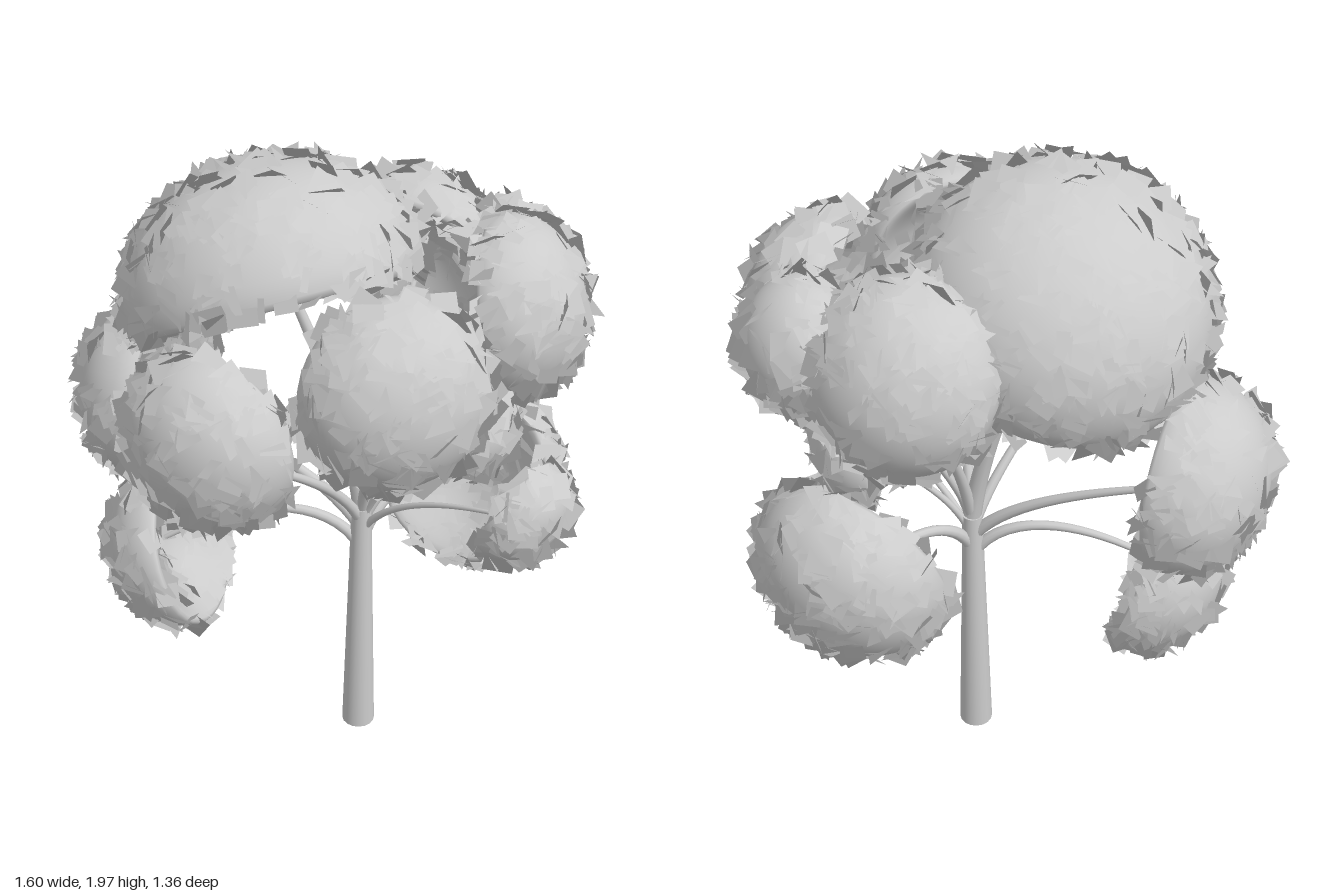
import * as THREE from 'three';
import { mergeGeometries } from 'three/addons/utils/BufferGeometryUtils.js';

const V = (x, y, z) => new THREE.Vector3(x, y, z);
const grey = new THREE.MeshStandardMaterial({ color: 0xcccccc });
const leafGrey = new THREE.MeshStandardMaterial({ color: 0xcccccc, side: THREE.DoubleSide });
const trunkX = 0.1, trunkZ = -0.07;

// small seeded random
let seed = 7;
const rnd = () => {
  seed = (seed * 16807) % 2147483647;
  return seed / 2147483647;
};
const spread = (a) => (rnd() * 2 - 1) * a;

// clump section: hollow underside with rounded rim, then the dome
const P = (x, y) => new THREE.Vector2(x, y);
const profile = new THREE.CurvePath();
profile.add(new THREE.CubicBezierCurve(P(0, 0.38), P(0.6, 0.38), P(1, -0.5), P(1, 0)));
profile.add(new THREE.EllipseCurve(0, 0, 1, 1, 0, Math.PI / 2));

// foliage clumps: name, radius, rim centre, outward axis
const clumps = [
  ['crown', 0.42, [-0.14, 1.57, 0.01], [-0.38, 0.87, -0.3]],
  ['front', 0.25, [-0.14, 1.32, 0.43], [-0.25, -0.08, 1]],
  ['frontLeft', 0.255, [0.32, 1.5, 0.32], [0.6, 0.15, 0.7]],
  ['right', 0.28, [-0.53, 1.14, -0.04], [-1, 0, -0.05]],
  ['lowRight', 0.26, [-0.42, 0.68, 0.09], [-0.95, -0.3, 0.1]],
  ['lowLeft', 0.155, [0.62, 1.08, 0.11], [0.85, -0.4, 0.25]],
  ['innerLeft', 0.14, [0.46, 1.29, 0.07], [1, 0, 0.1]],
  ['innerBack', 0.16, [0.37, 1.13, -0.23], [0.9, 0, -0.4]],
  ['left', 0.25, [0.49, 1.55, -0.16], [0.95, 0.2, -0.08]],
  ['back', 0.265, [0.14, 1.53, -0.4], [0.05, 0.42, -0.9]],
  ['backLeft', 0.185, [0.44, 1.56, -0.39], [0.6, 0.3, -0.75]],
  ['lowBack', 0.295, [0.33, 0.83, -0.39], [0.15, -0.3, -0.95]],
];

// square leaf cards scattered over a clump, shaded like the surface below
function leafCards(R, H) {
  const cards = [];
  const dummy = new THREE.Object3D();
  const count = Math.round(80 + 3000 * R * R);
  while (cards.length < count) {
    const t = 0.02 + rnd() * 0.96;
    const p = profile.getPoint(t);
    if (rnd() > p.x + 0.05) continue;
    const d = profile.getTangent(t);
    const a = rnd() * Math.PI * 2;
    const n = V(d.y * H * Math.sin(a), -d.x * R, d.y * H * Math.cos(a)).normalize();
    dummy.position.set(p.x * R * Math.sin(a), p.y * H, p.x * R * Math.cos(a));
    dummy.lookAt(dummy.position.clone().add(n));
    dummy.rotateZ(rnd() * Math.PI * 2);
    dummy.rotateX(spread(0.85));
    dummy.rotateY(spread(0.85));
    dummy.updateMatrix();
    const size = 0.06 + rnd() * 0.025;
    const card = new THREE.PlaneGeometry(size, size).applyMatrix4(dummy.matrix);
    for (let i = 0; i < 4; i++) card.attributes.normal.setXYZ(i, n.x, n.y, n.z);
    cards.push(card);
  }
  return mergeGeometries(cards);
}

// one clump: a smooth cushion covered in leaves
function makeFoliage(name, R, centre, axis) {
  const H = R * 0.83;
  const foliage = new THREE.Group();
  foliage.name = `${name}Foliage`;
  const pts = profile.getPoints(12).map((p) => P(Math.max(0, p.x) * R, p.y * H));
  const cushion = new THREE.Mesh(new THREE.LatheGeometry(pts, 36), grey);
  cushion.name = 'cushion';
  const leaves = new THREE.Mesh(leafCards(R, H), leafGrey);
  leaves.name = 'leaves';
  foliage.add(cushion, leaves);
  foliage.position.set(...centre);
  foliage.quaternion.setFromUnitVectors(V(0, 1, 0), V(...axis).normalize());
  return foliage;
}

// tapering branch from the trunk into its clump; low ones arch over
function makeBranch(name, R, centre, axis) {
  const end = V(...axis).normalize().multiplyScalar(R * 0.45).add(V(...centre));
  const start = V(trunkX, 0.6 + 0.14 * end.y, trunkZ);
  const lift = 0.02 + 0.32 * Math.max(0, 1.2 - end.y);
  const along = (side, up) => {
    const p = start.clone().lerp(end, side);
    return p.setY(THREE.MathUtils.lerp(start.y, end.y, up) + lift);
  };
  const curve = new THREE.CubicBezierCurve3(start, along(0.15, 0.35), along(0.55, 0.65), end);
  const rows = 20, sides = 10, radius = 0.003 + 0.06 * R;
  const geo = new THREE.TubeGeometry(curve, rows, radius, sides);
  const pos = geo.attributes.position;
  const v = V(0, 0, 0);
  for (let i = 0; i < pos.count; i++) {
    const t = Math.floor(i / (sides + 1)) / rows;
    const c = curve.getPointAt(t);
    v.fromBufferAttribute(pos, i).sub(c).multiplyScalar(1 - 0.65 * t).add(c);
    pos.setXYZ(i, v.x, v.y, v.z);
  }
  const branch = new THREE.Mesh(geo, grey);
  branch.name = `${name}Branch`;
  return branch;
}

export function createModel() {
  seed = 7;
  const tree = new THREE.Group();
  tree.name = 'tree';

  // trunk standing on the ground
  const height = 0.84;
  const trunk = new THREE.Mesh(new THREE.CylinderGeometry(0.03, 0.052, height, 16), grey);
  trunk.name = 'trunk';
  trunk.position.set(trunkX, height / 2, trunkZ);
  tree.add(trunk);

  for (const clump of clumps) tree.add(makeBranch(...clump), makeFoliage(...clump));
  return tree;
}
